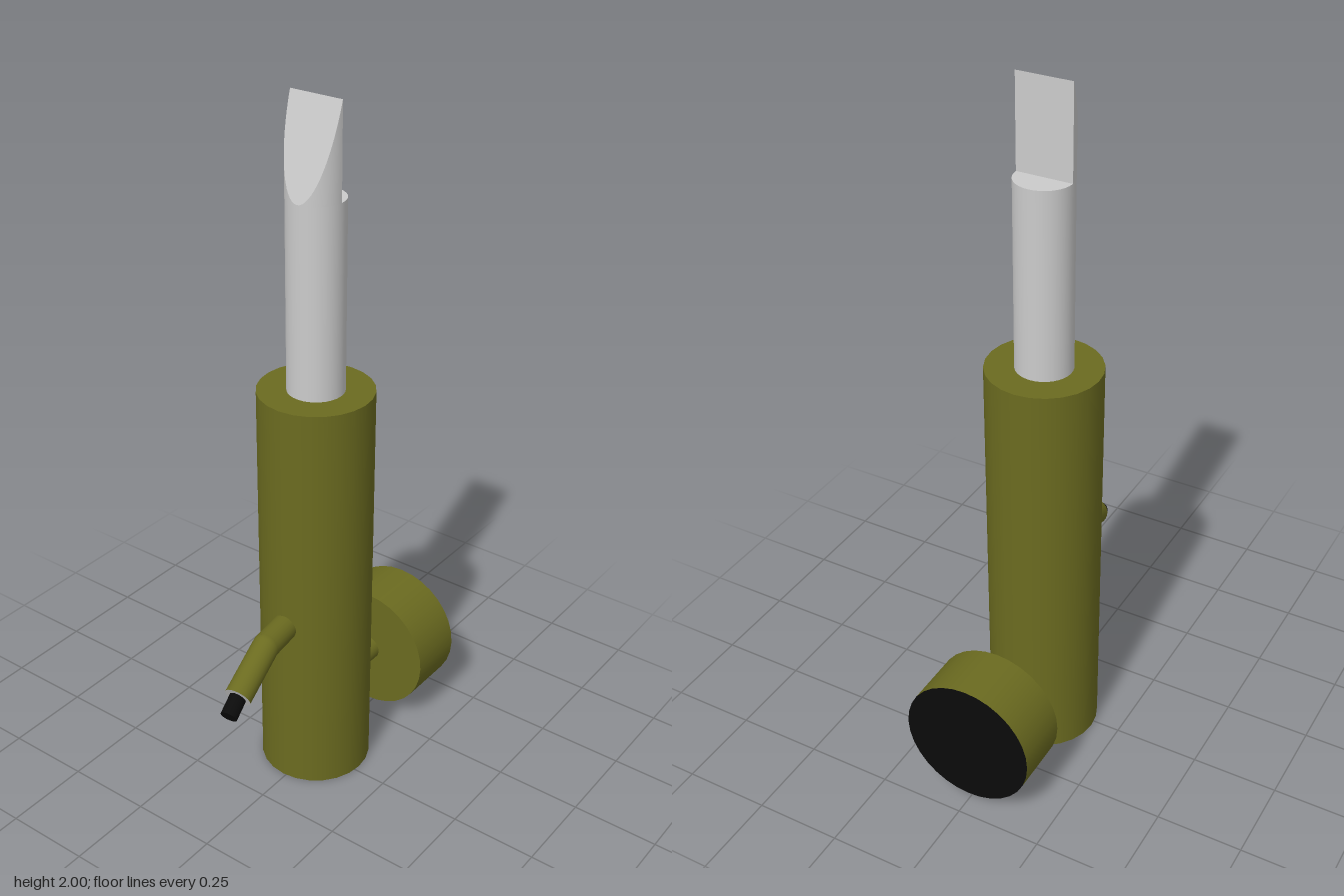
import * as THREE from 'three';

const olive = new THREE.MeshStandardMaterial({ color: 0x6b6b20 });
const black = new THREE.MeshStandardMaterial({ color: 0x0b0b0b });
const grey = new THREE.MeshStandardMaterial({ color: 0xcccccc });

const UP = new THREE.Vector3(0, 1, 0);

// Cylinder running from point a to point b; materials are [side, end at b, end at a]
function rod(name, a, b, radius, sides, materials) {
  const from = new THREE.Vector3(...a);
  const to = new THREE.Vector3(...b);
  const axis = to.clone().sub(from);
  const mesh = new THREE.Mesh(
    new THREE.CylinderGeometry(radius, radius, axis.length(), sides), materials);
  mesh.position.copy(from).add(to).multiplyScalar(0.5);
  mesh.quaternion.setFromUnitVectors(UP, axis.normalize());
  mesh.name = name;
  return mesh;
}

// Half round tip, cut by a sloping plane from the front up to a straight edge
function bladeTip(radius, low, high) {
  const group = new THREE.Group();
  group.name = 'bladeTip';
  const h = high - low;
  const geo = new THREE.CylinderGeometry(radius, radius, h, 32, 1, false, -Math.PI / 2, Math.PI);
  const pos = geo.attributes.position;
  for (let i = 0; i < pos.count; i++) {
    if (pos.getY(i) > 0) pos.setY(i, h / 2 - h * Math.max(0, pos.getZ(i)) / radius);
  }
  geo.computeVertexNormals();
  const slope = new THREE.Mesh(geo, grey);
  slope.name = 'bladeSlope';

  const back = new THREE.Mesh(new THREE.PlaneGeometry(radius * 2, h), grey);
  back.rotation.y = Math.PI;
  back.name = 'bladeBack';
  group.add(slope, back);
  group.position.y = (low + high) / 2;
  return group;
}

export function createModel() {
  const model = new THREE.Group();
  model.name = 'model';

  // Main barrel with the grey blade standing in it
  const barrel = new THREE.Group();
  barrel.name = 'barrel';
  barrel.position.set(-0.01, 0, -0.019);
  barrel.add(
    rod('body', [0, 0, 0], [0, 1.21, 0], 0.16, 24, olive),
    rod('bladeShank', [0, 1.15, 0], [0, 1.743, 0], 0.079, 32, grey),
    bladeTip(0.079, 1.743, 2));
  model.add(barrel);

  // Round knob on a short stem at the back, with a black end face
  model.add(
    rod('knobStem', [-0.002, 0.218, -0.12], [-0.002, 0.218, -0.29], 0.038, 24, olive),
    rod('knob', [-0.002, 0.218, -0.277], [-0.002, 0.218, -0.45], 0.191, 32, [olive, black, olive]));

  // Bent lever at the front, with a grey end face and a black tip
  const bend = [0.012, 0.532, 0.238];
  const end = [0.033, 0.459, 0.387];
  const elbow = new THREE.Mesh(new THREE.SphereGeometry(0.038, 24, 16), olive);
  elbow.position.set(...bend);
  elbow.name = 'leverElbow';
  model.add(
    rod('leverRoot', [-0.01, 0.532, 0.08], bend, 0.038, 24, olive),
    elbow,
    rod('leverArm', bend, end, 0.038, 24, [olive, grey, olive]),
    rod('leverTip', [0.031, 0.465, 0.375], [0.043, 0.431, 0.438], 0.024, 20, black));

  return model;
}
